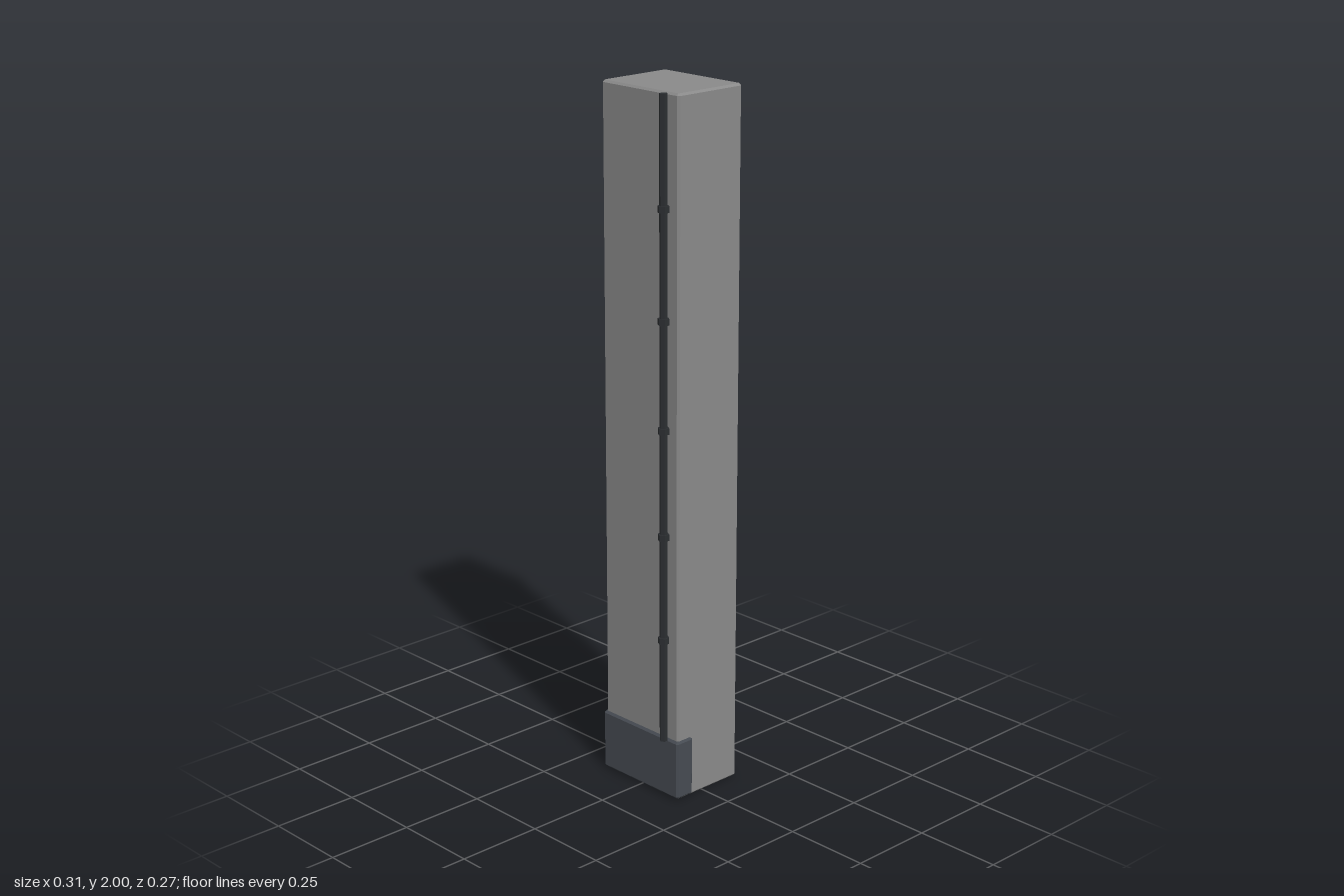
import * as THREE from 'three';

const paint = (color) => new THREE.MeshStandardMaterial({ color, flatShading: true });

// Box with every edge cut by a single flat chamfer
function chamferBox(name, [x0, x1], [y0, y1], [z0, z1], c, material) {
  const w = (x1 - x0) / 2 - c, d = (z1 - z0) / 2 - c;
  const outline = new THREE.Shape([
    [-w, -d - c], [w, -d - c], [w + c, -d], [w + c, d],
    [w, d + c], [-w, d + c], [-w - c, d], [-w - c, -d],
  ].map(([x, y]) => new THREE.Vector2(x, y)));
  const geometry = new THREE.ExtrudeGeometry(outline, {
    depth: y1 - y0 - 2 * c, bevelEnabled: true, bevelSegments: 1,
    bevelThickness: c, bevelSize: c, bevelOffset: -c,
  });
  geometry.rotateX(-Math.PI / 2);
  const mesh = new THREE.Mesh(geometry, material);
  mesh.name = name;
  mesh.position.set((x0 + x1) / 2, y0 + c, (z0 + z1) / 2);
  return mesh;
}

// Upright six-sided rod
function hexRod(name, radius, y0, y1, material) {
  const mesh = new THREE.Mesh(new THREE.CylinderGeometry(radius, radius, y1 - y0, 6), material);
  mesh.name = name;
  mesh.position.set(0.111, (y0 + y1) / 2, 0.117);
  return mesh;
}

export function createModel() {
  const model = new THREE.Group();
  model.name = 'pillar';
  const concrete = paint(0x8a8a8a);
  const guard = paint(0x464b52);
  const metal = paint(0x2b2e31);

  // Tall column and the guard wrapped around the front of its foot
  model.add(chamferBox('column', [-0.147, 0.147], [0, 2], [-0.135, 0.097], 0.006, concrete));
  model.add(chamferBox('baseGuard', [-0.153, 0.153], [0.005, 0.18], [0.042, 0.104], 0.006, guard));

  // Conduit running up the front with evenly spaced collars
  const conduit = new THREE.Group();
  conduit.name = 'conduit';
  conduit.add(hexRod('pipe', 0.0115, 0.18, 2, metal));
  for (let i = 0; i < 5; i++) {
    const y = 0.483 + i * 0.3035;
    conduit.add(hexRod('collar', 0.016, y - 0.009, y + 0.009, metal));
  }
  model.add(conduit);
  return model;
}
